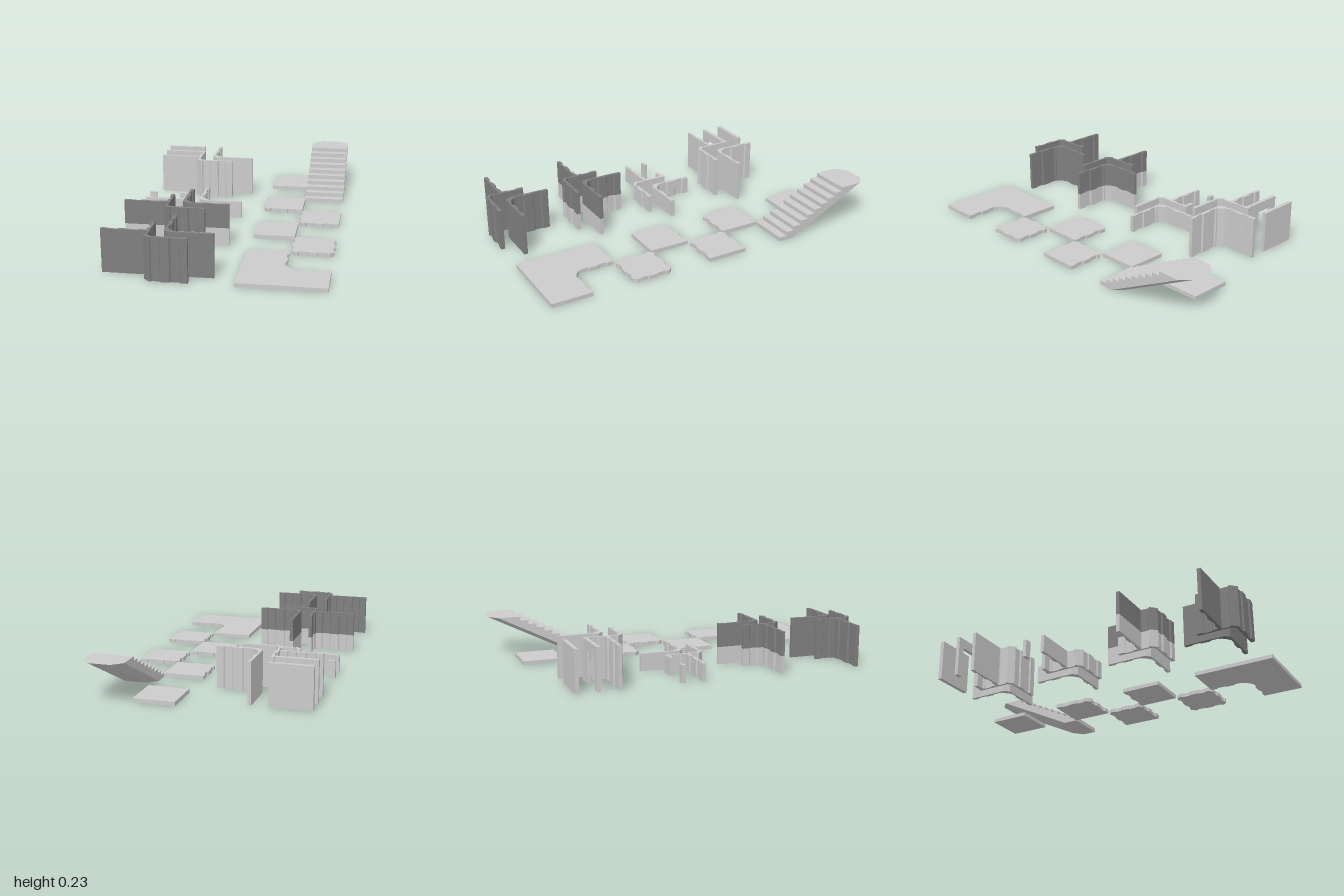
import * as THREE from 'three';

const WALL = 0.235, HALF = 0.1, SLAB = 0.022, CELL = 0.232;

// Two shallow recesses along the edge a -> b, cut into the side on its left (x, z plane)
function relief(a, b, depth = 0.008) {
  const dx = b[0] - a[0], dz = b[1] - a[1], len = Math.hypot(dx, dz);
  const ux = dx / len, uz = dz / len;
  const at = (s, d) => [a[0] + ux * s - uz * d, a[1] + uz * s + ux * d];
  const pts = [];
  for (const [s, e] of [[0.038, 0.092], [len - 0.092, len - 0.038]])
    pts.push(at(s, 0), at(s + 0.006, depth), at(e - 0.006, depth), at(e, 0));
  return pts;
}

// Upright prism over a floor plan given as [x, z] points
function prism(plan, y0, y1) {
  const shape = new THREE.Shape(plan.map(([x, z]) => new THREE.Vector2(x, -z)));
  const g = new THREE.ExtrudeGeometry(shape, { depth: y1 - y0, bevelEnabled: false });
  return g.rotateX(-Math.PI / 2).translate(0, y0, 0);
}

// Square floor tile; flags mark its notched edges: back, left, front, right
function tilePlan(x0, z0, notched) {
  const x1 = x0 + CELL, z1 = z0 + CELL, c = 0.022;
  const p = [[x0, z0], [x1, z0], [x1, z1], [x0, z1]];
  const toward = (a, b) => [a[0] + (b[0] - a[0]) * c / CELL, a[1] + (b[1] - a[1]) * c / CELL];
  const plan = [];
  p.forEach((a, i) => {
    const prev = (i + 3) % 4, b = p[(i + 1) % 4];
    if (notched[i] && notched[prev]) plan.push(toward(a, p[prev]), toward(a, b));
    else plan.push(a);
    if (notched[i]) plan.push(...relief(a, b));
  });
  return plan;
}

export function createModel() {
  const model = new THREE.Group();
  const light = new THREE.MeshStandardMaterial({ color: 0xcccccc });
  const dark = new THREE.MeshStandardMaterial({ color: 0x808080 });

  const add = (name, geometry, material = light, parent = model) => {
    const mesh = new THREE.Mesh(geometry, material);
    mesh.name = name;
    parent.add(mesh);
    return mesh;
  };
  const box = (name, x0, x1, y0, y1, z0, z1) =>
    add(name, new THREE.BoxGeometry(x1 - x0, y1 - y0, z1 - z0)
      .translate((x0 + x1) / 2, (y0 + y1) / 2, (z0 + z1) / 2));

  // Wall plans: straight, outer corner, inner corner
  const plans = {
    straightWall: [[-0.58, 0.885], ...relief([-0.58, 0.885], [-0.347, 0.885]),
      [-0.347, 0.885], [-0.347, 0.905], [-0.58, 0.905]],
    outerCornerWall: [[-0.117, 0.972], [-0.117, 0.993],
      ...relief([-0.117, 0.993], [-0.346, 0.993]), [-0.314, 0.993], [-0.346, 0.961],
      ...relief([-0.346, 0.993], [-0.346, 0.764]), [-0.346, 0.764],
      [-0.326, 0.764], [-0.326, 0.952], [-0.306, 0.972]],
    innerCornerWall: [[-0.237, 0.65], ...relief([-0.237, 0.65], [-0.237, 0.885]),
      [-0.237, 0.855], [-0.207, 0.885],
      ...relief([-0.237, 0.885], [0, 0.885]), [0, 0.885], [0, 0.905],
      [-0.232, 0.905], [-0.257, 0.88], [-0.257, 0.65]],
  };

  // Four wall sets: dark, two-tone, half height, full height
  const sets = [
    ['darkWalls', [[0, WALL, dark]]],
    ['twoToneWalls', [[0, HALF, light], [HALF, WALL, dark]]],
    ['halfWalls', [[0, HALF, light]]],
    ['fullWalls', [[0, WALL, light]]],
  ];
  sets.forEach(([setName, layers], i) => {
    const group = new THREE.Group();
    group.name = setName;
    group.position.z = -0.466 * i;
    for (const [name, plan] of Object.entries(plans))
      for (const [y0, y1, material] of layers) add(name, prism(plan, y0, y1), material, group);
    model.add(group);
  });

  // Doorways, low and full height
  for (const [z, h] of [[-0.163, HALF], [-0.628, WALL]]) {
    box('doorPost', -0.58, -0.54, 0, h, z, z + 0.021);
    box('doorPost', -0.395, -0.347, 0, h, z, z + 0.021);
  }
  box('doorLintel', -0.54, -0.395, 0.18, WALL, -0.628, -0.607);

  // Plain rear wall panel
  box('plainWall', -0.58, -0.347, 0, WALL, -0.745, -0.722);

  // Floor tiles
  const tiles = [
    ['plainTile', 0.115, -0.86, [0, 0, 0, 0]],
    ['cornerTile', 0.115, -0.394, [0, 0, 1, 1]],
    ['endTile', 0.347, -0.163, [1, 0, 1, 1]],
    ['edgeTile', 0.115, 0.07, [1, 0, 0, 0]],
    ['islandTile', 0.347, 0.302, [1, 1, 1, 1]],
  ];
  for (const [name, x, z, notched] of tiles) add(name, prism(tilePlan(x, z, notched), 0, SLAB));

  // L-shaped floor with a notched inner corner
  add('innerCornerFloor', prism([[0.115, 0.535], [0.345, 0.535],
    ...relief([0.345, 0.535], [0.345, 0.77]), [0.345, 0.74], [0.375, 0.77],
    ...relief([0.345, 0.77], [0.579, 0.77]), [0.579, 0.77],
    [0.579, 1], [0.115, 1]], 0, SLAB));

  // Staircase: stepped side profile extruded across its width
  const stairs = new THREE.Group();
  stairs.name = 'stairs';
  model.add(stairs);
  const steps = 10, rise = WALL / steps, run = 0.0473, front = -0.395;
  const profile = [];
  for (let i = 0; i < steps; i++) {
    const s = -front + i * run;
    profile.push(new THREE.Vector2(s, i * rise), new THREE.Vector2(s, (i + 1) * rise));
  }
  profile.push(new THREE.Vector2(0.95, WALL), new THREE.Vector2(0.48, 0));
  add('steps', new THREE.ExtrudeGeometry(new THREE.Shape(profile), { depth: CELL, bevelEnabled: false })
    .rotateY(Math.PI / 2).translate(0.347, 0, 0), light, stairs);

  // Bevelled underside: a trapezoid prism sheared along the slope
  const under = prism([[0.347, -0.48], [0.402, -0.53], [0.524, -0.53], [0.579, -0.48]], 0, WALL);
  const pos = under.attributes.position;
  for (let i = 0; i < pos.count; i++) pos.setZ(i, pos.getZ(i) - 2 * pos.getY(i));
  under.computeVertexNormals();
  add('stairUnderside', under, light, stairs);

  return model;
}
